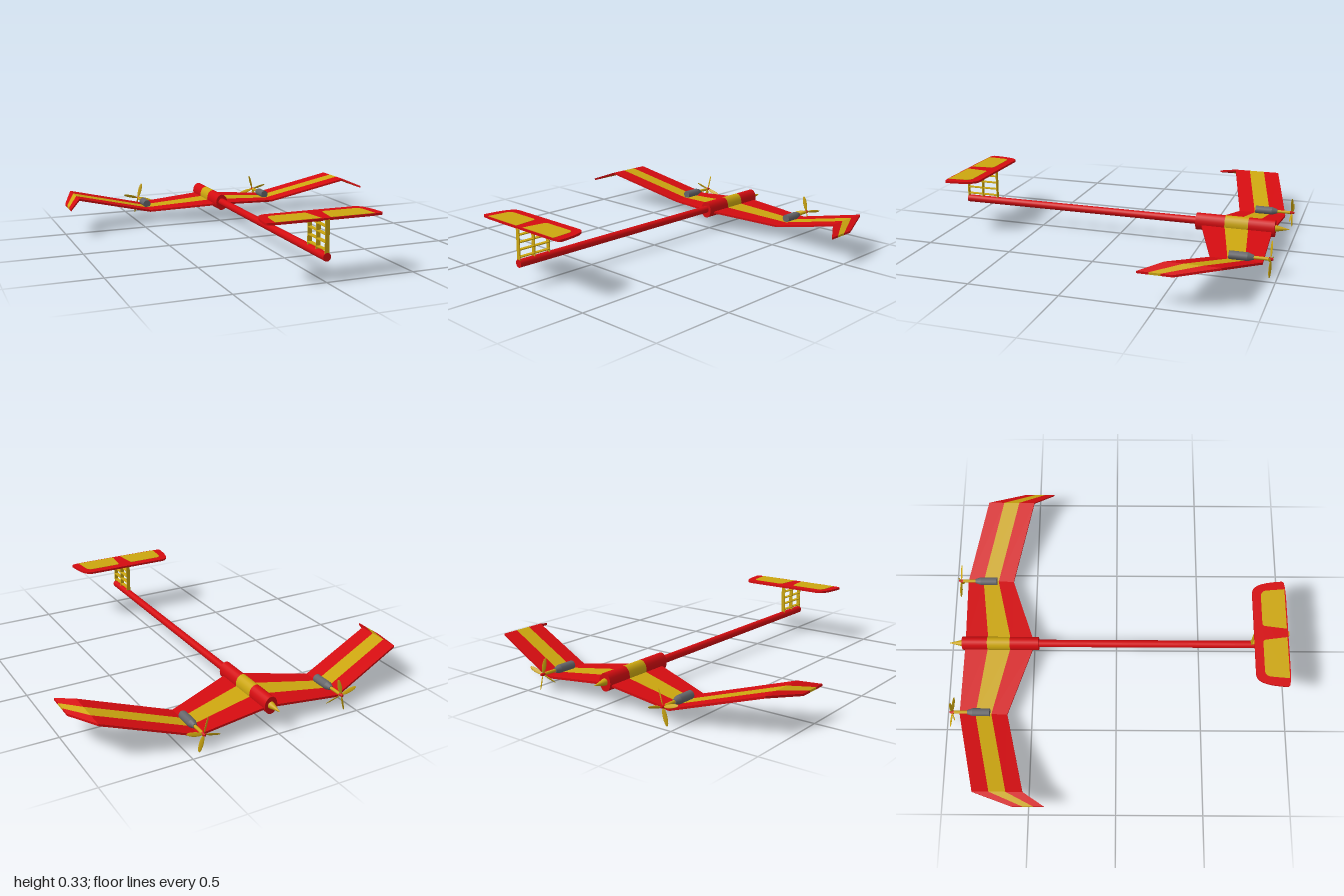
import * as THREE from 'three';

const mat = (name, color) => {
  const m = new THREE.MeshStandardMaterial({ color });
  m.name = name;
  return m;
};

export function createModel() {
  const red = mat('red', 0xd40c10);
  const yellow = mat('yellow', 0xcca60f);
  const gray = mat('gray', 0x66666a);
  const model = new THREE.Group();
  model.name = 'twinMotorGlider';

  const add = (parent, name, geo, material, x = 0, y = 0, z = 0) => {
    const mesh = new THREE.Mesh(geo, material);
    mesh.name = name;
    mesh.position.set(x, y, z);
    parent.add(mesh);
    return mesh;
  };

  // Round bar along z from z0 (radius r0) to z1 (radius r1), z0 < z1
  const bar = (parent, name, material, z0, z1, r0, r1, x, y, sides = 24) => {
    const geo = new THREE.CylinderGeometry(r1, r0, z1 - z0, sides).rotateX(Math.PI / 2);
    return add(parent, name, geo, material, x, y, (z0 + z1) / 2);
  };

  // Wing: half-span stations [x, y, leading z, trailing z], mirrored to the right
  const half = [
    [0, 0.112, -0.905, -0.49],
    [0.425, 0.07, -0.92, -0.64],
    [0.905, 0.203, -0.8, -0.518],
    [0.98, 0.168, -0.58, -0.398],
  ];
  const stations = [...half.slice(1).reverse().map(([x, ...r]) => [-x, ...r]), ...half];
  const wingStrip = (from, to) => {
    const t = 0.006, pos = [], idx = [];
    for (const [x, y, lead, trail] of stations) {
      const z0 = lead + (trail - lead) * from, z1 = lead + (trail - lead) * to;
      pos.push(x, y + t, z0, x, y + t, z1, x, y - t, z1, x, y - t, z0);
    }
    const last = (stations.length - 1) * 4;
    for (let s = 0; s < last; s += 4) {
      for (let j = 0; j < 4; j++) {
        const a = s + j, b = s + (j + 1) % 4;
        idx.push(a, b, b + 4, a, b + 4, a + 4);
      }
    }
    idx.push(0, 3, 2, 0, 2, 1, last, last + 1, last + 2, last, last + 2, last + 3);
    const geo = new THREE.BufferGeometry();
    geo.setAttribute('position', new THREE.Float32BufferAttribute(pos, 3));
    geo.setIndex(idx);
    const flat = geo.toNonIndexed();
    flat.computeVertexNormals();
    return flat;
  };
  const wing = new THREE.Group();
  wing.name = 'wing';
  model.add(wing);
  ['leadingStrip', 'middleStrip', 'trailingStrip'].forEach((name, i) =>
    add(wing, name, wingStrip(i / 3, (i + 1) / 3), i === 1 ? yellow : red));

  // Oval fuselage pod with a yellow band, nose cone and tail boom
  const podEnds = [-0.92, -0.77, -0.635, -0.465];
  ['podFront', 'podBand', 'podRear'].forEach((name, i) => {
    const pod = bar(model, name, i === 1 ? yellow : red, podEnds[i], podEnds[i + 1], 1, 1, 0, 0.126);
    pod.scale.set(0.038, 0.05, 1);
  });
  bar(model, 'noseCone', yellow, -1, -0.92, 0.001, 0.02, 0, 0.128);
  bar(model, 'tailBoom', red, -0.47, 1, 0.022, 0.022, 0, 0.13);

  // Motors with four-bladed propellers
  for (const side of [-1, 1]) {
    const motor = new THREE.Group();
    motor.name = side > 0 ? 'leftMotor' : 'rightMotor';
    motor.position.set(side * 0.419, 0.097, 0);
    model.add(motor);
    bar(motor, 'nacelle', gray, -0.84, -0.74, 0.024, 0.024, 0, 0, 12);
    bar(motor, 'nacelleTaper', gray, -0.872, -0.84, 0.013, 0.024, 0, 0, 12);
    bar(motor, 'shaft', yellow, -0.952, -0.87, 0.009, 0.009, 0, 0, 12);
    bar(motor, 'hub', red, -0.974, -0.95, 0.006, 0.011, 0, 0, 12);
    for (let i = 0; i < 4; i++) {
      const blade = new THREE.SphereGeometry(1, 12, 8)
        .scale(0.0115, 0.047, 0.0025)
        .rotateY(side * 0.6)
        .translate(0, 0.053, 0)
        .rotateZ(side * Math.PI / 12 + i * Math.PI / 2);
      add(motor, 'propellerBlade', blade, yellow, 0, 0, -0.96);
    }
  }

  // Open lattice fin: upright slats crossed by level slats
  const fin = new THREE.Group();
  fin.name = 'fin';
  model.add(fin);
  for (const z of [0.803, 0.9, 0.997])
    add(fin, 'finUpright', new THREE.BoxGeometry(0.024, 0.178, 0.005), yellow, 0, 0.229, z);
  for (const y of [0.165, 0.205, 0.245, 0.285])
    add(fin, 'finSlat', new THREE.BoxGeometry(0.024, 0.005, 0.196), yellow, 0, y, 0.9);

  // Tailplane with rounded front corners
  const plate = (shape, depth) => new THREE.ExtrudeGeometry(shape, { depth, bevelEnabled: false, curveSegments: 10 })
    .rotateX(Math.PI / 2).translate(0, depth / 2, 0);
  const outline = new THREE.Shape();
  outline.moveTo(-0.25, 0.795);
  outline.lineTo(0.25, 0.795);
  outline.bezierCurveTo(0.295, 0.797, 0.315, 0.85, 0.323, 0.97);
  outline.quadraticCurveTo(0.323, 0.985, 0.305, 0.986);
  outline.quadraticCurveTo(0.27, 0.992, 0.2, 0.992);
  outline.lineTo(-0.2, 0.992);
  outline.quadraticCurveTo(-0.27, 0.992, -0.305, 0.986);
  outline.quadraticCurveTo(-0.323, 0.985, -0.323, 0.97);
  outline.bezierCurveTo(-0.315, 0.85, -0.295, 0.797, -0.25, 0.795);
  add(model, 'tailplane', plate(outline, 0.012), red, 0, 0.321, 0);

  // Yellow tailplane panels, showing above and below
  for (const s of [-1, 1]) {
    const panel = new THREE.Shape();
    panel.moveTo(s * 0.055, 0.845);
    panel.lineTo(s * 0.235, 0.845);
    panel.quadraticCurveTo(s * 0.262, 0.85, s * 0.265, 0.88);
    panel.lineTo(s * 0.274, 0.985);
    panel.lineTo(s * 0.026, 0.985);
    panel.lineTo(s * 0.042, 0.86);
    panel.quadraticCurveTo(s * 0.045, 0.847, s * 0.055, 0.845);
    for (const [name, y] of [['panelTop', 0.327], ['panelBottom', 0.315]])
      add(model, name, plate(panel, 0.003), yellow, 0, y, 0);
  }

  return model;
}
